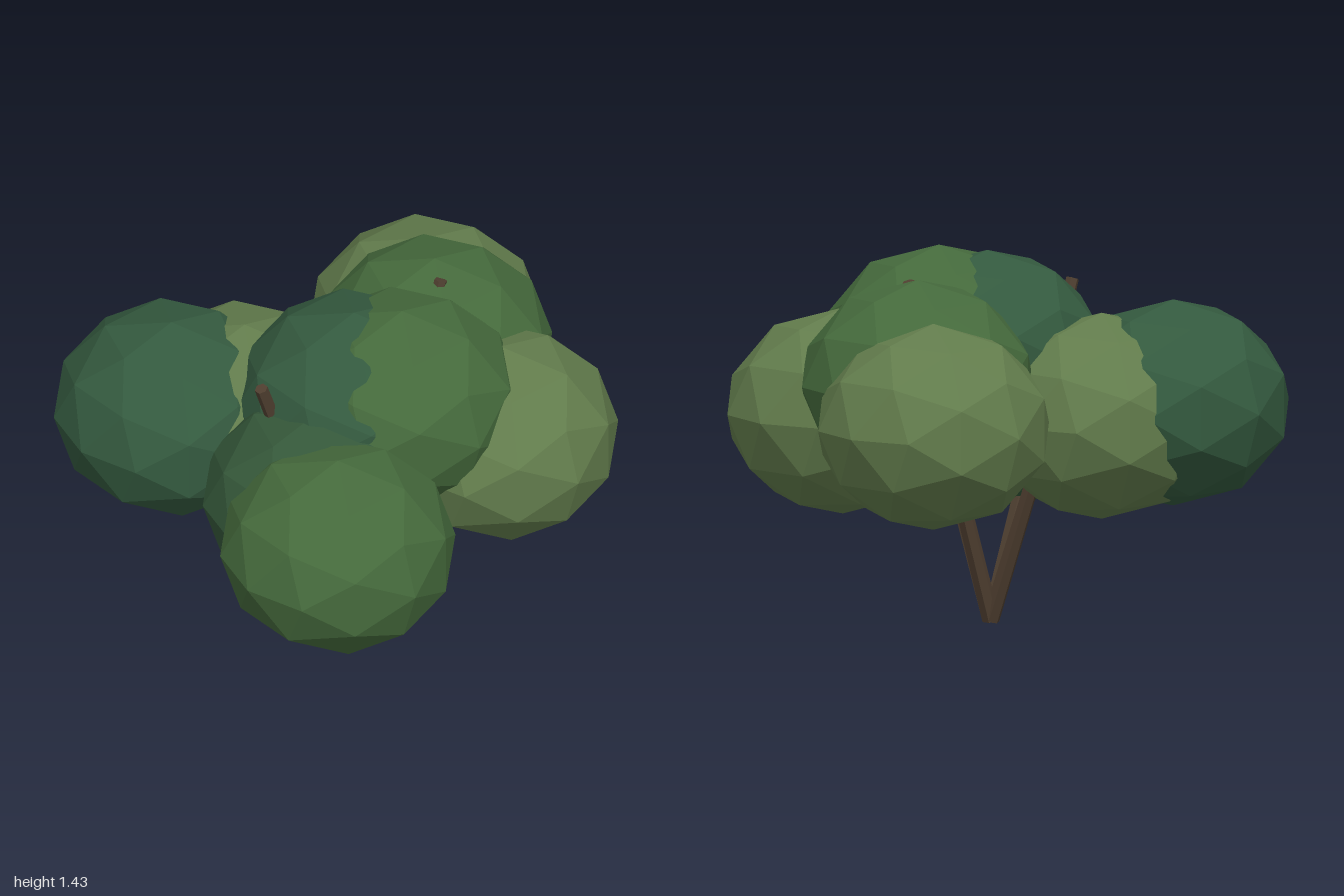
import * as THREE from 'three';

const material = (color) => new THREE.MeshStandardMaterial({ color, flatShading: true });

export function createModel() {
  const tree = new THREE.Group();
  tree.name = 'tree';

  const bark = material(0x4f3f30);
  const light = material(0x627c4c);
  const mid = material(0x456a3c);
  const deep = material(0x35583a);
  const dark = material(0x345a3f);

  // Four tapered stems fanning out from one foot
  const foot = new THREE.Vector3(-0.11, 0.01, 0.055);
  const stems = [
    ['leftStem', 0.335, 1.335, 0.055],
    ['rightStem', -0.55, 1.25, 0.055],
    ['frontStem', -0.11, 1.2, 0.5],
    ['backStem', -0.11, 1.08, -0.37],
  ];
  const up = new THREE.Vector3(0, 1, 0);
  for (const [name, x, y, z] of stems) {
    const tip = new THREE.Vector3(x, y, z);
    const dir = tip.clone().sub(foot);
    const stem = new THREE.Mesh(new THREE.CylinderGeometry(0.025, 0.034, dir.length(), 6), bark);
    stem.name = name;
    stem.position.copy(foot).add(tip).multiplyScalar(0.5);
    stem.quaternion.setFromUnitVectors(up, dir.normalize());
    tree.add(stem);
  }

  // Slightly flattened faceted leaf clumps
  const clump = new THREE.IcosahedronGeometry(0.445, 1);
  clump.scale(1, 0.875, 1);
  const clumps = [
    ['frontRightFoliage', mid, -0.555, 0.775, 0.5],
    ['frontLeftFoliage', light, 0.345, 0.815, 0.385],
    ['backLeftFoliage', light, 0.553, 0.85, -0.285],
    ['backRightFoliage', dark, -0.513, 0.845, -0.502],
    ['backFoliage', light, -0.28, 0.805, -0.355],
    ['rightFoliage', deep, -0.4, 0.78, 0.22],
    ['crownFoliage', dark, -0.11, 1.015, 0.075],
    ['frontCrownFoliage', mid, 0.015, 1.035, 0.205],
    ['leftFoliage', mid, 0.385, 0.97, -0.04],
  ];
  for (const [name, mat, x, y, z] of clumps) {
    const mesh = new THREE.Mesh(clump, mat);
    mesh.name = name;
    mesh.position.set(x, y, z);
    tree.add(mesh);
  }
  return tree;
}
